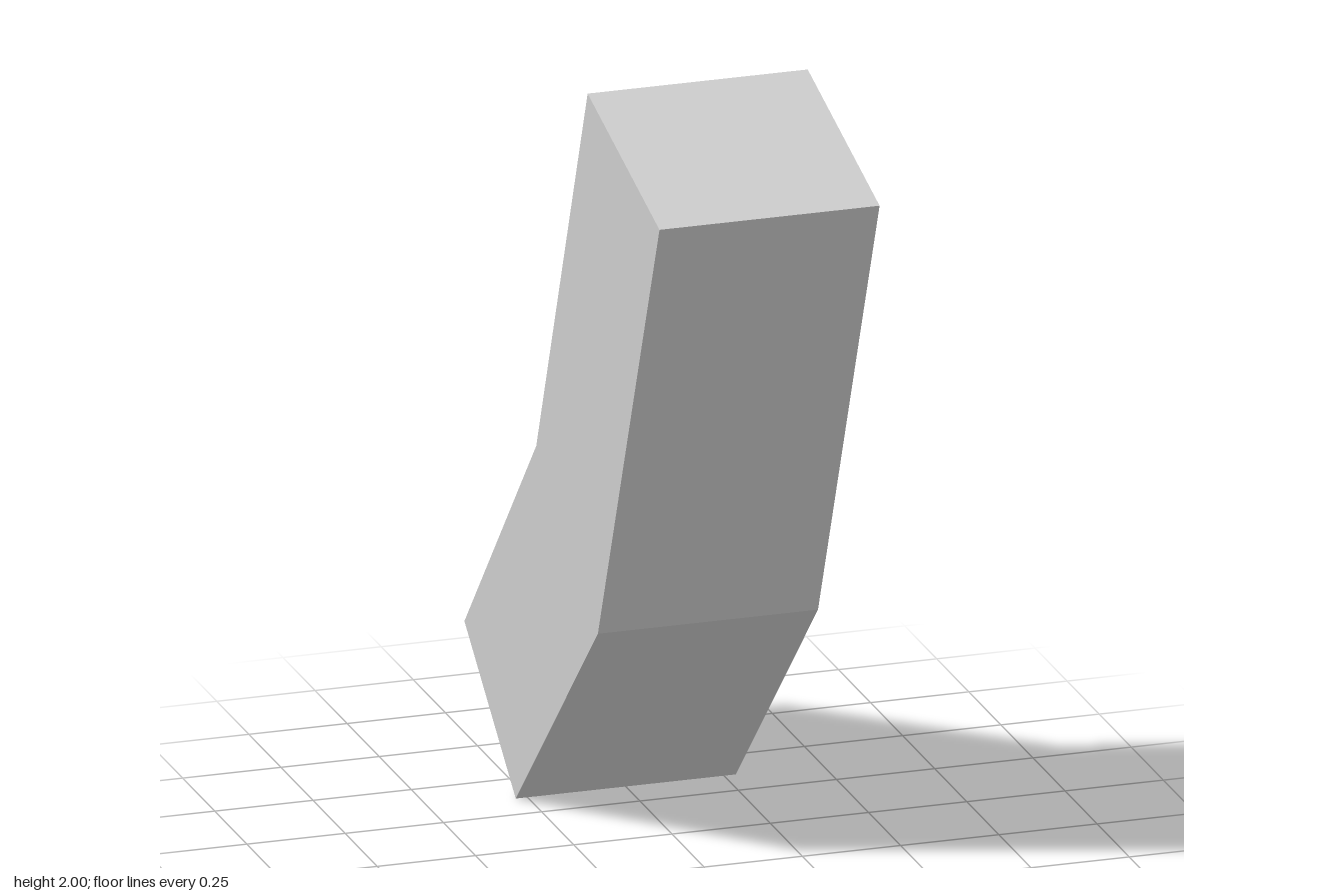
import * as THREE from 'three';

export function createModel() {
  const group = new THREE.Group();
  group.name = 'bentBlock';
  const grey = new THREE.MeshStandardMaterial({ color: 0xcccccc });
  grey.name = 'light grey';

  // Side profile as [z, y], extruded across the width
  const profile = [
    [0.76, 1.84], [0.2, 2], [-0.2, 0.96],
    [-0.76, 0.32], [-0.36, 0], [0.28, 0.64],
  ];
  const width = 0.56;
  const shape = new THREE.Shape(profile.map(([z, y]) => new THREE.Vector2(-z, y)));
  const geometry = new THREE.ExtrudeGeometry(shape, { depth: width, bevelEnabled: false });
  geometry.translate(0, 0, -width / 2);
  geometry.rotateY(Math.PI / 2); // shape x becomes -z, depth becomes x

  const beam = new THREE.Mesh(geometry, grey);
  beam.name = 'bentBeam';
  group.add(beam);
  return group;
}
